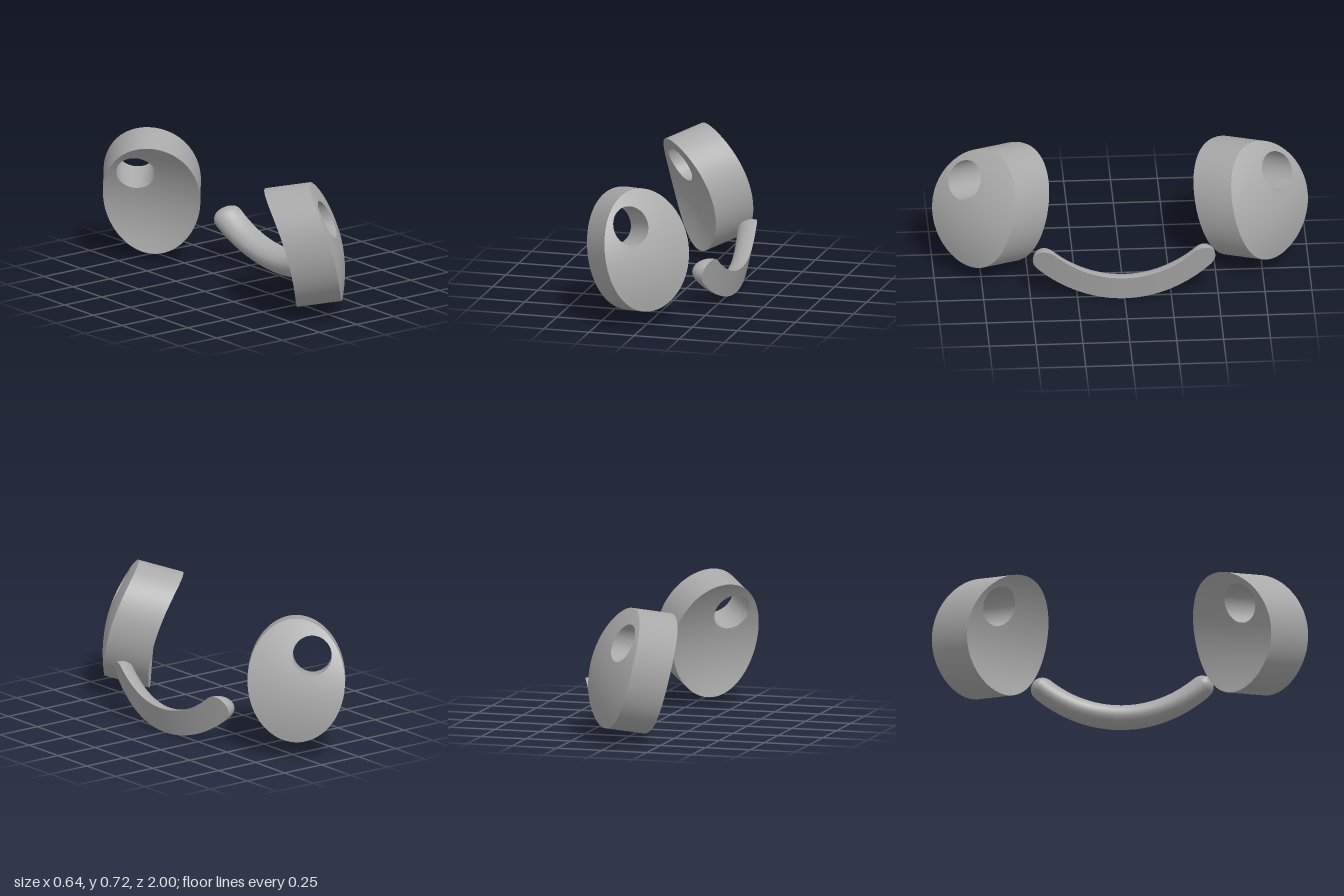
import * as THREE from 'three';

const grey = new THREE.MeshStandardMaterial({ color: 0xaaaaaa });
grey.name = 'plain grey';

// Smooth surface from rings: point(i, j) gives step i around ring j
function loft(around, rings, point, flip = false) {
  const pos = [], index = [];
  for (let j = 0; j < rings; j++)
    for (let i = 0; i < around; i++) pos.push(...point(i, j));
  for (let j = 0; j < rings - 1; j++)
    for (let i = 0; i < around; i++) {
      const k = (i + 1) % around;
      const a = j * around + i, b = a + around;
      const c = (j + 1) * around + k, d = j * around + k;
      if (flip) index.push(a, c, b, a, d, c);
      else index.push(a, b, c, a, c, d);
    }
  const g = new THREE.BufferGeometry();
  g.setAttribute('position', new THREE.Float32BufferAttribute(pos, 3));
  g.setIndex(index);
  g.computeVertexNormals();
  return g;
}

function addMesh(group, name, geometry) {
  const mesh = new THREE.Mesh(geometry, grey);
  mesh.name = name;
  group.add(mesh);
}

// Curved oval eye plate with an off-centre through hole
function makeEye(name, side) {
  const group = new THREE.Group();
  group.name = name;
  const n = new THREE.Vector3(0.61, 0.2, 0.77).normalize();
  const u = new THREE.Vector3(0, 1, 0).cross(n).normalize();
  const v = n.clone().cross(u);
  const centre = new THREE.Vector3(0.003, 0.4, 0.776);
  const N = 72, thickness = 0.25;

  // s runs from the hole (0) to the rim (1); depth is measured behind the front
  const point = (i, s, depth) => {
    const t = (i / N) * Math.PI * 2, c = Math.cos(t), q = Math.sin(t);
    const a = THREE.MathUtils.lerp(-0.09 + 0.104 * c, -0.005 + 0.26 * c, s);
    const b = THREE.MathUtils.lerp(0.153 + 0.104 * q, 0.014 + 0.328 * q, s);
    const w = 0.05 - 0.19 * a - 0.06 * b - 0.4 * a * a - 0.73 * b * b - depth;
    const p = centre.clone().addScaledVector(u, a).addScaledVector(v, b).addScaledVector(n, w);
    return [p.x, p.y, p.z * side];
  };
  const flip = side < 0;
  addMesh(group, 'eyeFront', loft(N, 9, (i, j) => point(i, j / 8, 0), flip));
  addMesh(group, 'eyeSide', loft(N, 2, (i, j) => point(i, 1, j * thickness), flip));
  addMesh(group, 'eyeBack', loft(N, 9, (i, j) => point(i, 1 - j / 8, thickness), flip));
  addMesh(group, 'eyeHole', loft(N, 2, (i, j) => point(i, 0, (1 - j) * thickness), flip));
  return group;
}

// Curved mouth bar: flat front, domed back, round ends
function makeMouth() {
  const group = new THREE.Group();
  group.name = 'mouth';
  const R = 0.655, half = 0.69, r0 = 0.07, arc = 32, cap = 12;
  const N = 2 * (arc + cap);

  const point = (i, r, depth) => {
    // Lower edge, end cap, upper edge, end cap
    let angle, dir;
    if (i < arc) {
      angle = -half + (2 * half * i) / arc; dir = angle;
    } else if (i < arc + cap) {
      angle = half; dir = half + (Math.PI * (i - arc)) / cap;
    } else if (i < 2 * arc + cap) {
      angle = half - (2 * half * (i - arc - cap)) / arc; dir = angle + Math.PI;
    } else {
      angle = -half; dir = -half + Math.PI + (Math.PI * (i - 2 * arc - cap)) / cap;
    }
    const z = -R * Math.sin(angle) - r * Math.sin(dir);
    const y = 0.071 + R - R * Math.cos(angle) - r * Math.cos(dir);
    const x = 0.278 + 0.23 * y - 0.42 * z * z;
    return [x - depth, y + 0.15 * depth, z];
  };
  addMesh(group, 'mouthFront', loft(N, 3, (i, j) => point(i, (r0 * j) / 2, 0)));
  addMesh(group, 'mouthBack', loft(N, 11, (i, j) => {
    const a = (j / 10) * Math.PI / 2;
    return point(i, r0 * Math.cos(a), 0.09 * Math.sin(a));
  }));
  return group;
}

export function createModel() {
  const model = new THREE.Group();
  model.name = 'smilingFace';
  model.add(makeEye('frontEye', 1), makeEye('backEye', -1), makeMouth());
  return model;
}
